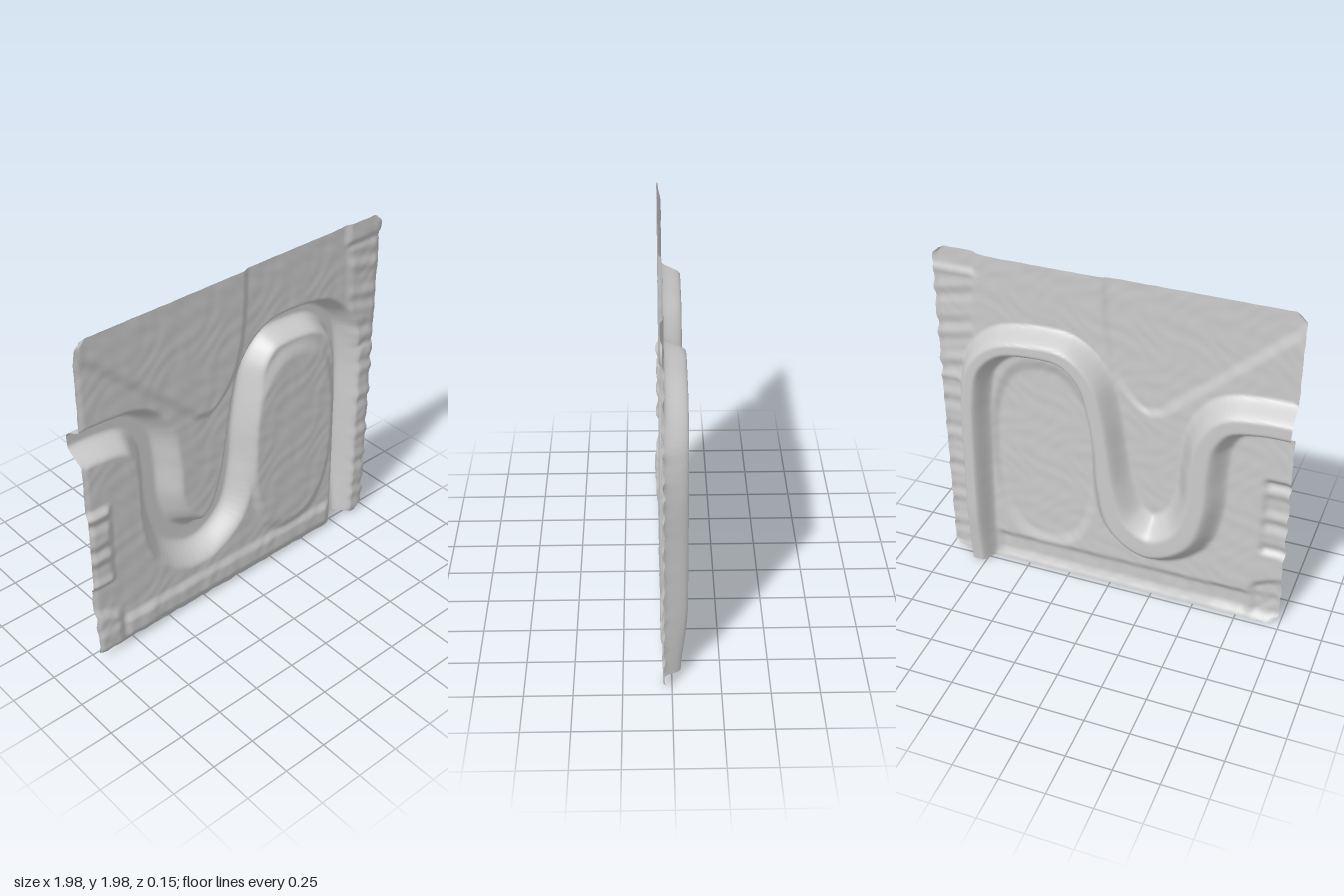
import * as THREE from 'three';

const { smoothstep, lerp } = THREE.MathUtils;

// Channel centre line: x, y, half width
const CHANNEL = [
  [-1.15, 1.375, 0.11], [-0.82, 1.372, 0.11], [-0.65, 1.33, 0.12], [-0.555, 1.2, 0.125],
  [-0.525, 1.0, 0.13], [-0.51, 0.75, 0.135], [-0.43, 0.53, 0.15], [-0.25, 0.43, 0.155],
  [-0.09, 0.53, 0.145], [-0.02, 0.75, 0.12], [0.01, 1.0, 0.1], [0.04, 1.2, 0.1],
  [0.1, 1.41, 0.1], [0.22, 1.53, 0.095], [0.4, 1.545, 0.09], [0.6, 1.505, 0.09],
  [0.735, 1.37, 0.09], [0.78, 1.15, 0.09], [0.79, 0.8, 0.085], [0.795, 0.35, 0.085],
  [0.795, -0.15, 0.085],
];
const path = new THREE.CatmullRomCurve3(CHANNEL.map((p) => new THREE.Vector3(...p))).getPoints(160);

// Sunken amount of the channel, 0 outside and 1 on its floor
function channelAt(x, y) {
  let best = Infinity;
  for (let i = 0; i < path.length - 1; i++) {
    const a = path[i], b = path[i + 1];
    const dx = b.x - a.x, dy = b.y - a.y;
    const t = Math.min(1, Math.max(0, ((x - a.x) * dx + (y - a.y) * dy) / (dx * dx + dy * dy)));
    const d = Math.hypot(x - a.x - t * dx, y - a.y - t * dy) / lerp(a.z, b.z, t);
    if (d < best) best = d;
  }
  return 1 - smoothstep(best, 0.28, 1.08);
}

// Soft-edged rectangle mask
const box = (x, y, x0, x1, y0, y1, s) =>
  smoothstep(x, x0 - s, x0 + s) * (1 - smoothstep(x, x1 - s, x1 + s)) *
  smoothstep(y, y0 - s, y0 + s) * (1 - smoothstep(y, y1 - s, y1 + s));

// Irregular folds along one direction, range about -1..1
const folds = (t, phase) =>
  0.5 * Math.sin(t * 43 + phase) + 0.3 * Math.sin(t * 71 + phase * 2.3) + 0.2 * Math.sin(t * 23 + phase * 0.7);

// Faintly hammered surface
const hammered = (x, y) =>
  0.0009 * (Math.sin(x * 41 + 3 * Math.sin(y * 13)) * Math.sin(y * 37 + 2 * Math.sin(x * 17)) +
  Math.sin(x * 23 - y * 29) * Math.sin(y * 19 + x * 11));

function heightAt(x, y) {
  let z = 0.036 + hammered(x, y);

  // Hanging tongue at the top
  const right = 0.045 - 0.24 * Math.exp(-(y - 1.24) * 6);
  const left = -0.26 - 1.1 * (y - 1.24);
  z += 0.016 * smoothstep(y, 1.215, 1.28) * (1 - smoothstep(x, right - 0.03, right + 0.02)) *
    smoothstep(x, left - 0.05, left + 0.05);

  // Long oval pad inside the arch
  const oval = Math.pow(Math.abs((x - 0.39) / 0.3), 2.5) + Math.pow(Math.abs((y - 0.81) / 0.6), 2.5);
  z += 0.02 * (1 - smoothstep(oval, 0.75, 1.12));

  // Crumpled border strips and corner lumps
  z += box(x, y, 0.87, 1.2, -1, 1.2, 0.02) * (0.01 + 0.005 * folds(y, 1));
  z += box(x, y, 0.76 + 0.04 * (1.9 - y), 1.2, 1.22, 1.86, 0.03) * (0.01 + 0.006 * folds(y + 0.2 * x, 2));
  z += box(x, y, 0.74, 1.2, 1.88, 2.2, 0.025) * 0.018;
  z += box(x, y, -1.2, -0.86, 0.5, 0.98, 0.025) * (0.018 + 0.01 * folds(y, 4));
  z += box(x, y, -0.8, 0.69, 0.06, 0.19, 0.03) * (0.018 + 0.002 * folds(x, 5));
  z += box(x, y, -1.2, -0.6, 0.05, 0.19, 0.03) * 0.008;
  z += box(x, y, -1.2, -0.83, 0.05, 0.29 - 0.4 * (x + 0.9), 0.035) * (0.024 + 0.003 * folds(x + y, 3));

  // Winding channel pressed backwards, shallower at its lower end
  const floor = lerp(-0.045, -0.082, smoothstep(y, -0.05, 0.45));
  return lerp(z, floor, channelAt(x, y));
}

export function createModel() {
  const group = new THREE.Group();
  group.name = 'channelPanel';

  const geometry = new THREE.PlaneGeometry(2, 2, 190, 190);
  const pos = geometry.attributes.position;
  for (let i = 0; i < pos.count; i++) {
    const u = pos.getX(i), v = pos.getY(i);
    let x = -0.005 + u * 0.985;
    let y = 1.005 + v * 0.983;

    // Ragged edges, calmer along the top and beside the upper left
    const nearX = smoothstep(Math.abs(u), 0.88, 1), nearY = smoothstep(Math.abs(v), 0.88, 1);
    const rough = u > 0 || v < 0 ? 0.006 : 0.002;
    x += Math.sign(u) * nearX * rough * folds(y, u > 0 ? 1 : 4);
    y += Math.sign(v) * nearY * (v < 0 ? 0.005 : 0.001) * folds(x, 5);
    y += 0.009 * smoothstep(u, 0.66, 0.78) * nearY * (v > 0 ? 1 : 0);

    // Slightly rounded corners
    x -= Math.sign(u) * 0.03 * nearX * Math.pow(smoothstep(Math.abs(v), 0.95, 1), 2);
    y -= Math.sign(v) * 0.012 * nearY * Math.pow(smoothstep(Math.abs(u), 0.95, 1), 2);

    // Outer border curls back a little
    const curl = 0.008 * (smoothstep(Math.abs(u), 0.97, 1) + (v < 0 ? smoothstep(-v, 0.97, 1) : 0));
    const z = heightAt(x, y);
    pos.setXYZ(i, x, y, z > 0.03 ? z - curl : z);
  }
  geometry.computeVertexNormals();

  const panel = new THREE.Mesh(
    geometry,
    new THREE.MeshStandardMaterial({ color: 0xcccccc, side: THREE.DoubleSide })
  );
  panel.name = 'reliefSheet';
  group.add(panel);
  return group;
}
